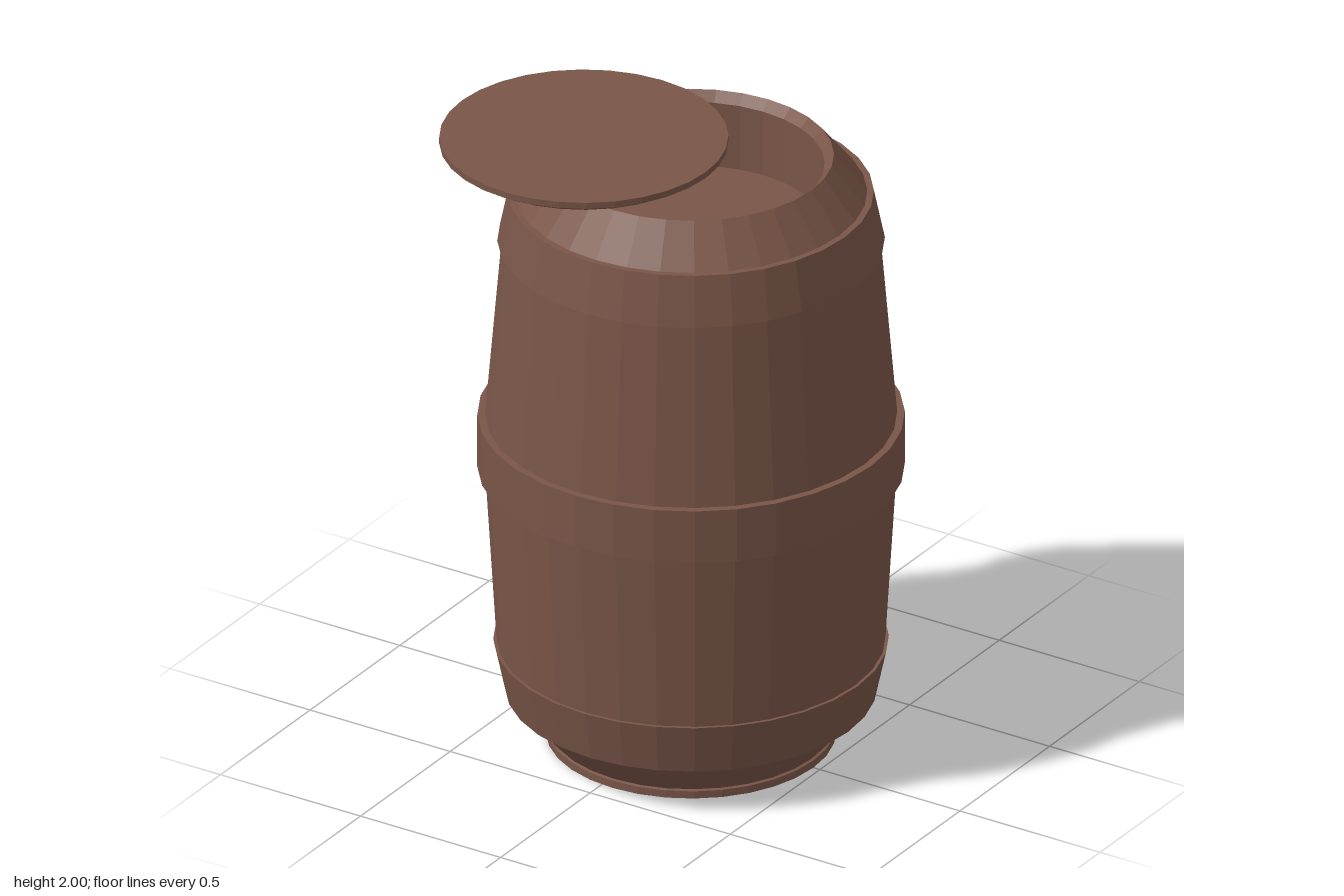
import * as THREE from 'three';

const SIDES = 32;

export function createModel() {
  const barrel = new THREE.Group();
  barrel.name = 'barrel';
  const wood = new THREE.MeshStandardMaterial({ color: 0x795548 });
  wood.name = 'brown wood';
  wood.flatShading = true;

  // Turned part from [radius, height] points, listed bottom to top on the outside
  function turned(name, profile, x = 0.04, z = 0) {
    const points = profile.map(([r, y]) => new THREE.Vector2(r, y));
    const mesh = new THREE.Mesh(new THREE.LatheGeometry(points, SIDES), wood);
    mesh.name = name;
    mesh.position.set(x, 0, z);
    barrel.add(mesh);
  }

  // Staved body with sloped shoulders, bevelled mouth and inner floor
  turned('body', [
    [0, 0.028], [0.43, 0.028], [0.54, 0.155], [0.585, 0.32], [0.62, 0.905],
    [0.62, 1.08], [0.57, 1.67], [0.53, 1.83], [0.43, 1.955],
    [0.402, 1.925], [0.402, 1.71], [0, 1.71],
  ]);

  // Foot disc under the body
  turned('foot', [[0, 0], [0.437, 0], [0.437, 0.024], [0.42, 0.03], [0, 0.03]]);

  // Hoops: lower radius, lower height, upper radius, upper height, inner radii
  const hoops = [
    ['lowerHoop', 0.56, 0.155, 0.595, 0.32, 0.53, 0.57],
    ['middleHoop', 0.643, 0.905, 0.643, 1.08, 0.61, 0.61],
    ['upperHoop', 0.583, 1.67, 0.55, 1.83, 0.56, 0.52],
  ];
  for (const [name, r0, y0, r1, y1, in0, in1] of hoops) {
    turned(name, [[in0, y0], [r0, y0], [r1, y1], [in1, y1]]);
  }

  // Lid pushed aside, resting on the mouth
  turned('lid', [
    [0, 1.956], [0.395, 1.956], [0.415, 1.977], [0.435, 1.98], [0.435, 2], [0, 2],
  ], -0.25, 0.145);

  return barrel;
}
